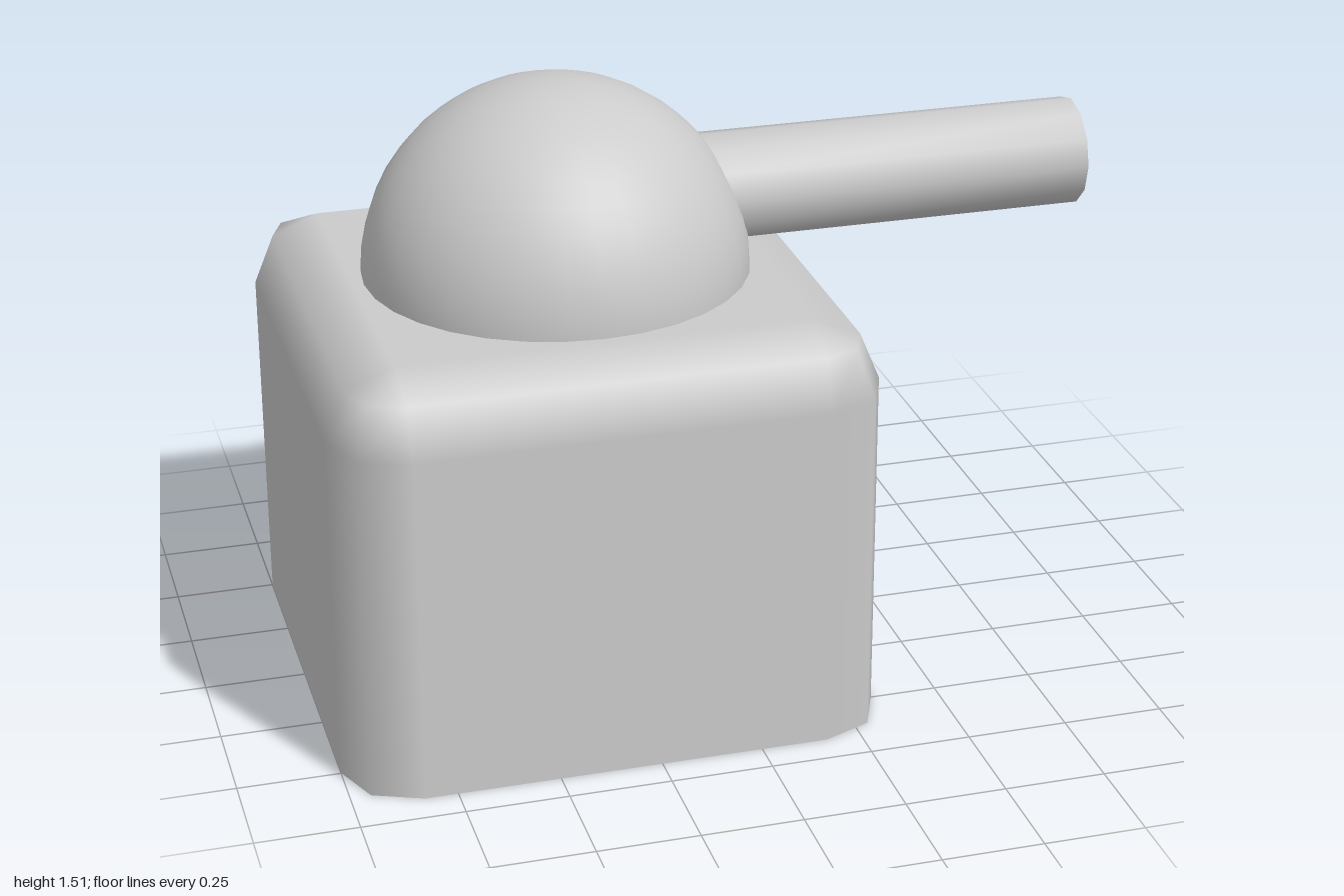
import * as THREE from 'three';
import { toCreasedNormals } from 'three/addons/utils/BufferGeometryUtils.js';

const material = new THREE.MeshStandardMaterial({ color: 0xcccccc, side: THREE.DoubleSide });

function addPart(group, name, geometry, x, y, z) {
  const mesh = new THREE.Mesh(geometry, material);
  mesh.name = name;
  mesh.position.set(x, y, z);
  group.add(mesh);
  return mesh;
}

// Open-bottomed box, bevelled in two steps on its upright and top edges
function bevelledShell(half, height, bevel) {
  const core = half - bevel, steps = 2, count = 4 * (steps + 1);
  const positions = [], normals = [], indices = [];

  function addRing(y, scale, radius, tilt) {
    for (let corner = 0; corner < 4; corner++) {
      const mid = (corner + 0.5) * Math.PI / 2;
      const cx = Math.sign(Math.cos(mid)) * core * scale;
      const cz = Math.sign(Math.sin(mid)) * core * scale;
      for (let s = 0; s <= steps; s++) {
        const a = (corner + s / steps) * Math.PI / 2;
        positions.push(cx + radius * Math.cos(a), y, cz + radius * Math.sin(a));
        normals.push(Math.cos(tilt) * Math.cos(a), Math.sin(tilt), Math.cos(tilt) * Math.sin(a));
      }
    }
  }

  addRing(0, 1, bevel, 0);
  for (let s = 0; s <= steps; s++) {
    const t = (s / steps) * Math.PI / 2;
    addRing(height - bevel + bevel * Math.sin(t), 1, bevel * Math.cos(t), t);
  }
  addRing(height, 0, 0, Math.PI / 2); // closes the flat top

  const rings = positions.length / 3 / count;
  for (let i = 0; i < rings - 1; i++) {
    for (let j = 0; j < count; j++) {
      const a = i * count + j, b = i * count + (j + 1) % count;
      indices.push(a, a + count, b, b, a + count, b + count);
    }
  }
  const geometry = new THREE.BufferGeometry();
  geometry.setAttribute('position', new THREE.Float32BufferAttribute(positions, 3));
  geometry.setAttribute('normal', new THREE.Float32BufferAttribute(normals, 3));
  geometry.setIndex(indices);
  return geometry;
}

export function createModel() {
  const model = new THREE.Group();
  model.name = 'turret';
  const centreX = -0.333, baseTop = 1.04;

  addPart(model, 'base', bevelledShell(0.667, baseTop, 0.17), centreX, 0, 0);

  // Half sphere resting on the base
  const dome = new THREE.SphereGeometry(0.475, 32, 12, 0, Math.PI * 2, 0, Math.PI / 2);
  addPart(model, 'dome', dome, centreX, baseTop, 0);

  // Twelve-sided barrel with a recessed muzzle, running out along +x
  const profile = [[0.135, 0], [0.135, 1], [0.095, 1], [0.095, 0.9], [0, 0.9]]
    .map(([r, y]) => new THREE.Vector2(r, y));
  const barrel = toCreasedNormals(new THREE.LatheGeometry(profile, 12), 0.7);
  addPart(model, 'barrel', barrel, 0, 1.205, 0).rotation.z = -Math.PI / 2;

  return model;
}
